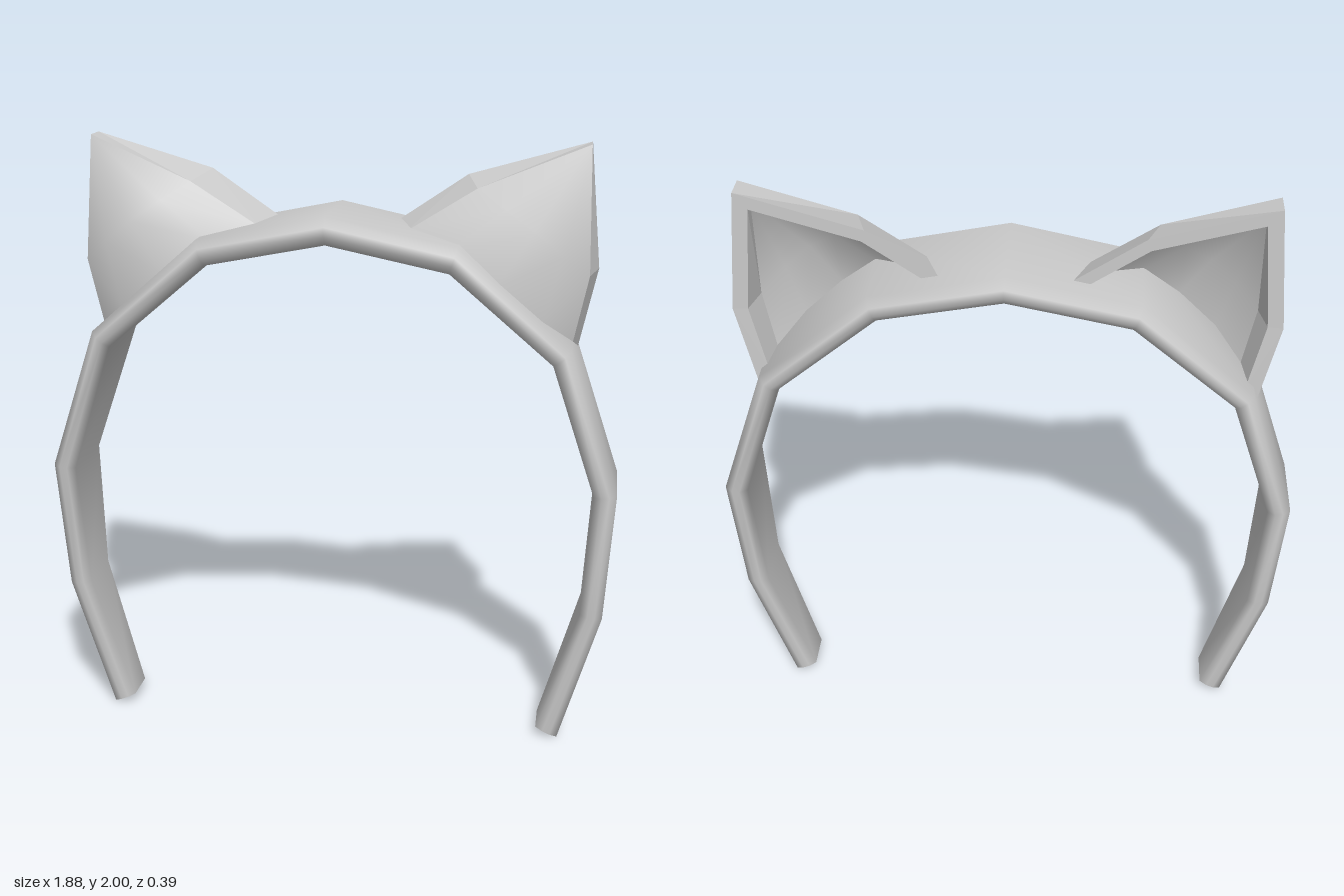
import * as THREE from 'three';
import { mergeVertices } from 'three/addons/utils/BufferGeometryUtils.js';

const smooth = new THREE.MeshStandardMaterial({ color: 0xcccccc });
const faceted = new THREE.MeshStandardMaterial({ color: 0xcccccc, flatShading: true });

// Skin a grid of points (rows of equal length); side = -1 mirrors it in x
function patch(name, rows, material, side = 1) {
  const n = rows[0].length, index = [];
  for (let r = 0; r < rows.length - 1; r++) {
    for (let c = 0; c < n - 1; c++) {
      const a = r * n + c, b = a + 1, d = a + n, e = d + 1;
      if (side > 0) index.push(a, b, e, a, e, d);
      else index.push(a, e, b, a, d, e);
    }
  }
  const pos = rows.flat().flatMap(([x, y, z]) => [x * side, y, z]);
  let geo = new THREE.BufferGeometry();
  geo.setAttribute('position', new THREE.Float32BufferAttribute(pos, 3));
  geo.setIndex(index);
  geo = mergeVertices(geo);
  geo.computeVertexNormals();
  const mesh = new THREE.Mesh(geo, material);
  mesh.name = name;
  return mesh;
}

// Tapered hoop with a chamfered rectangular section
function createBand() {
  const band = new THREE.Group();
  band.name = 'headband';
  // outer x, outer y, inner x, inner y, half width
  const half = [
    [0, 1.785, 0, 1.695, 0.193],
    [0.415, 1.7, 0.39, 1.617, 0.19],
    [0.775, 1.385, 0.72, 1.335, 0.175],
    [0.94, 0.91, 0.866, 0.9, 0.145],
    [0.915, 0.465, 0.842, 0.475, 0.108],
    [0.785, 0, 0.712, 0.032, 0.07],
  ];
  const mirrored = half.slice(1).reverse().map(([a, b, c, d, w]) => [-a, b, -c, d, w]);
  const section = [[0, -0.86], [0, 0.86], [0.33, 1], [0.67, 1], [1, 0.86],
    [1, -0.86], [0.67, -1], [0.33, -1], [0, -0.86]];
  const rings = [...mirrored, ...half].map(([ox, oy, ix, iy, w]) =>
    section.map(([t, z]) => [ox + (ix - ox) * t, oy + (iy - oy) * t, z * w]));
  band.add(patch('bandHoop', rings, smooth));

  // End caps
  const centre = (ring) => {
    const m = [0, 1, 2].map((k) => (ring[0][k] + ring[4][k]) / 2);
    return ring.map(() => [m[0], m[1], 0]);
  };
  const first = rings[0], last = rings[rings.length - 1];
  band.add(patch('rightEndCap', [centre(first), first], faceted));
  band.add(patch('leftEndCap', [last, centre(last)], faceted));
  return band;
}

// Hollow pointed ear, open at the back, standing on the band
function createEar(name, side) {
  const ear = new THREE.Group();
  ear.name = name;
  const tip = [0.805, 2, -0.02];

  // Bulging front: base arc, middle row, tip
  const front = [
    [[0.24, 1.725, 0.03], [0.39, 1.69, 0.11], [0.54, 1.585, 0.142], [0.68, 1.465, 0.12], [0.775, 1.385, 0.02]],
    [[0.46, 1.865, 0.04], [0.55, 1.81, 0.096], [0.645, 1.745, 0.118], [0.735, 1.67, 0.095], [0.818, 1.6, 0.035]],
    Array(5).fill(tip),
  ];
  // Edge of the front and the matching back edge, over the tip
  const frontEdge = [front[0][0], front[1][0], tip, front[1][4], front[0][4]];
  const backEdge = [[0.2, 1.74, -0.1], [0.42, 1.89, -0.1], [0.805, 2, -0.1], [0.845, 1.6, -0.1], [0.79, 1.34, -0.105]];

  // Inner shell: shrink towards the middle of the base
  const inset = (dz) => ([x, y, z]) => [0.5 + (x - 0.5) * 0.86, 1.62 + (y - 1.62) * 0.86, z - dz];
  const innerFront = front.map((row) => row.map(inset(0.04)));
  const innerFrontEdge = frontEdge.map(inset(0.04));
  const innerBackEdge = backEdge.map(inset(0));

  const add = (part, rows, material) => ear.add(patch(part, rows, material, side));
  add('earFront', front, smooth);
  add('earSideWall', [frontEdge, backEdge], faceted);
  add('earRim', [backEdge, innerBackEdge], faceted);
  add('earInnerWall', [innerBackEdge, innerFrontEdge], faceted);
  add('earInnerFront', [...innerFront].reverse(), smooth);

  // Underside
  add('earBase', [innerFront[0], front[0]], faceted);
  const ends = [0, 4].map((k) => [[frontEdge[k], backEdge[k]], [innerFrontEdge[k], innerBackEdge[k]]]);
  add('earInnerFoot', ends[0], faceted);
  add('earOuterFoot', ends[1].reverse(), faceted);
  return ear;
}

export function createModel() {
  const model = new THREE.Group();
  model.name = 'earHeadband';
  model.add(createBand(), createEar('leftEar', 1), createEar('rightEar', -1));
  return model;
}
